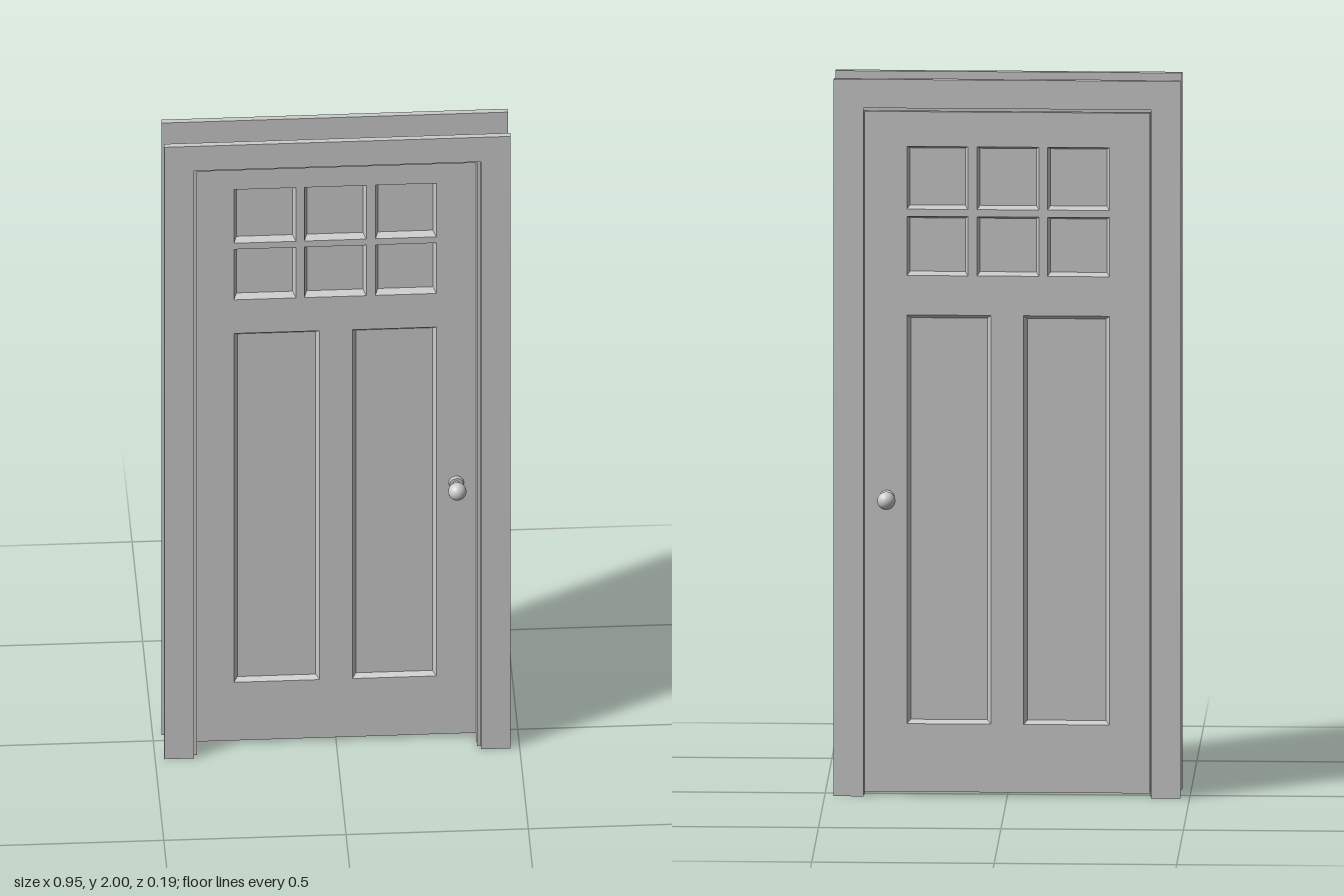
import * as THREE from 'three';

const grey = new THREE.MeshStandardMaterial({ color: 0xcccccc, flatShading: true });
const smooth = new THREE.MeshStandardMaterial({ color: 0xcccccc });
const FACE = 0.026; // half thickness of the door leaf

function add(parent, name, geometry, material = grey) {
  const mesh = new THREE.Mesh(geometry, material);
  mesh.name = name;
  parent.add(mesh);
  return mesh;
}

// Box given by its minimum and maximum corners
function box(parent, name, x0, x1, y0, y1, z0, z1) {
  const mesh = add(parent, name, new THREE.BoxGeometry(x1 - x0, y1 - y0, z1 - z0));
  mesh.position.set((x0 + x1) / 2, (y0 + y1) / 2, (z0 + z1) / 2);
  return mesh;
}

const corners = ([x0, x1, y0, y1], inset, z) => [
  [x0 + inset, y0 + inset, z], [x1 - inset, y0 + inset, z],
  [x1 - inset, y1 - inset, z], [x0 + inset, y1 - inset, z],
];

// Sloped moulding running round an opening, from the door face to the panel
function mouldingGeometry(rect, inset, side, panelZ) {
  const outer = corners(rect, 0, side * FACE);
  const inner = corners(rect, inset, side * panelZ);
  const positions = [];
  for (let i = 0; i < 4; i++) {
    const j = (i + 1) % 4;
    const quad = [outer[i], outer[j], inner[j], inner[i]];
    const order = side > 0 ? [0, 1, 2, 0, 2, 3] : [0, 2, 1, 0, 3, 2];
    order.forEach((k) => positions.push(...quad[k]));
  }
  const geometry = new THREE.BufferGeometry();
  geometry.setAttribute('position', new THREE.Float32BufferAttribute(positions, 3));
  geometry.computeVertexNormals();
  return geometry;
}

// Panel or pane with mouldings on both faces
function filledOpening(parent, name, rect, halfThickness, inset) {
  const [x0, x1, y0, y1] = rect;
  box(parent, name, x0, x1, y0, y1, -halfThickness, halfThickness);
  for (const side of [1, -1]) {
    add(parent, name + 'Moulding', mouldingGeometry(rect, inset, side, halfThickness));
  }
}

function rectPath(Type, [x0, x1, y0, y1]) {
  return new Type(corners([x0, x1, y0, y1], 0, 0).map(([x, y]) => new THREE.Vector2(x, y)));
}

function createDoor() {
  const door = new THREE.Group();
  door.name = 'door';

  const panels = [[-0.28, -0.045, 0.2, 1.34], [0.045, 0.275, 0.2, 1.34]];
  const panes = [];
  for (const [y0, y1] of [[1.45, 1.615], [1.635, 1.81]]) {
    for (const [x0, x1] of [[-0.28, -0.11], [-0.087, 0.083], [0.108, 0.275]]) {
      panes.push([x0, x1, y0, y1]);
    }
  }

  // Rails, mullion, muntins and latch stile, cut through at every opening
  const outline = rectPath(THREE.Shape, [-0.285, 0.391, 0.01, 1.907]);
  [...panels, ...panes].forEach((r) => outline.holes.push(rectPath(THREE.Path, r)));
  const leaf = new THREE.ExtrudeGeometry(outline, { depth: 2 * FACE, bevelEnabled: false });
  leaf.translate(0, 0, -FACE);
  add(door, 'doorLeaf', leaf);
  box(door, 'hingeStile', -0.391, -0.285, 0.01, 1.907, -FACE, FACE);

  panels.forEach((r) => filledOpening(door, 'lowerPanel', r, 0.013, 0.01));
  panes.forEach((r) => filledOpening(door, 'windowPane', r, 0.004, 0.008));
  return door;
}

// Rose, stem and ball turned as one set on each face
function createKnob(side) {
  const knob = new THREE.Group();
  knob.name = side > 0 ? 'frontKnob' : 'backKnob';
  const rose = add(knob, 'rose', new THREE.CylinderGeometry(0.018, 0.021, 0.008, 24), smooth);
  rose.position.y = 0.004;
  const stem = add(knob, 'stem', new THREE.CylinderGeometry(0.01, 0.01, 0.03, 20), smooth);
  stem.position.y = 0.015;
  const ball = add(knob, 'ball', new THREE.SphereGeometry(0.025, 28, 20), smooth);
  ball.position.y = 0.045;
  knob.rotation.x = side * Math.PI / 2;
  knob.position.set(0.33, 0.83, side * FACE);
  return knob;
}

function createFrame() {
  const frame = new THREE.Group();
  frame.name = 'doorFrame';

  // Flat casing boards on the front and back
  for (const [z0, z1] of [[0.077, 0.094], [-0.045, -0.028]]) {
    box(frame, 'headCasing', -0.475, 0.475, 1.92, 2, z0, z1);
    box(frame, 'leftCasing', 0.394, 0.475, 0, 1.92, z0, z1);
    box(frame, 'rightCasing', -0.475, -0.394, 0, 1.92, z0, z1);
  }

  // Jamb lining, stepping inward in front of the door as a stop
  for (const [name, z0, z1, inner, under] of [
    ['jamb', -0.028, 0.026, 0.392, 1.909],
    ['doorStop', 0.026, 0.077, 0.384, 1.906],
  ]) {
    box(frame, name + 'Left', inner, 0.4, 0, 1.92, z0, z1);
    box(frame, name + 'Right', -0.4, -inner, 0, 1.92, z0, z1);
    box(frame, name + 'Head', -inner, inner, under, 1.92, z0, z1);
  }
  return frame;
}

export function createModel() {
  const model = new THREE.Group();
  model.name = 'panelDoor';
  model.add(createFrame(), createDoor(), createKnob(1), createKnob(-1));
  return model;
}
